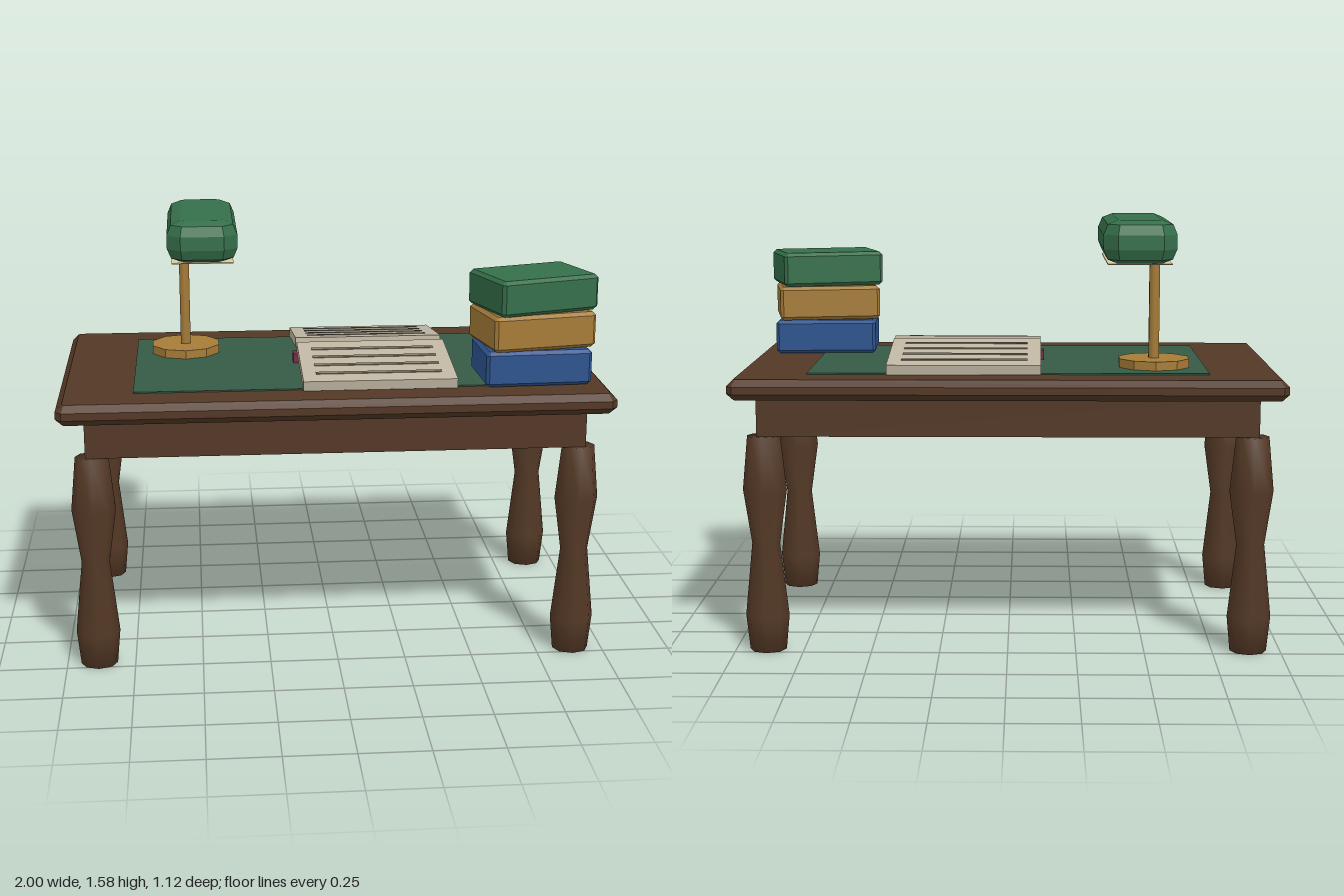
import * as THREE from 'three';

const paint = (name, hex) => {
  const m = new THREE.MeshStandardMaterial({ color: hex });
  m.name = name;
  return m;
};

// Box with bevelled rims and clipped upright corners, standing on y = 0
function bevelBox(w, h, d, bevel, clip, segments = 1) {
  const x = w / 2 - bevel, z = d / 2 - bevel;
  const corners = [
    [x, -z + clip], [x, z - clip], [x - clip, z], [-x + clip, z],
    [-x, z - clip], [-x, -z + clip], [-x + clip, -z], [x - clip, -z],
  ];
  const shape = new THREE.Shape(corners.map(([a, b]) => new THREE.Vector2(a, b)));
  const geo = new THREE.ExtrudeGeometry(shape, {
    depth: h - 2 * bevel, bevelEnabled: true, bevelSize: bevel,
    bevelThickness: bevel, bevelSegments: segments,
  });
  return geo.translate(0, 0, bevel).rotateX(-Math.PI / 2);
}

export function createModel() {
  const wood = paint('dark wood', 0x533825);
  const green = paint('green', 0x356f4a);
  const felt = paint('blotter green', 0x365b46);
  const brass = paint('brass', 0xa67c38);
  const blue = paint('blue', 0x2d5490);
  const paper = paint('paper', 0xbfb6a2);
  const ink = paint('ink', 0x877e6c);
  const maroon = paint('maroon', 0x78294a);
  const cream = paint('cream', 0xd8cba0);

  const model = new THREE.Group();
  model.name = 'writingDesk';
  const add = (parent, name, geo, mat, x = 0, y = 0, z = 0) => {
    const mesh = new THREE.Mesh(geo, mat);
    mesh.name = name;
    mesh.position.set(x, y, z);
    parent.add(mesh);
    return mesh;
  };
  const box = (w, h, d) => new THREE.BoxGeometry(w, h, d);
  const group = (name) => {
    const g = new THREE.Group();
    g.name = name;
    model.add(g);
    return g;
  };

  // Desk top, apron and blotter
  const TOP = 1.015;
  add(model, 'deskTop', bevelBox(2, 0.075, 1.12, 0.024, 0.008), wood, 0, 0.94, 0);
  add(model, 'apron', box(1.81, 0.142, 0.965), wood, 0, 0.871, 0);
  add(model, 'blotter', box(1.46, 0.006, 0.8), felt, 0, TOP + 0.002, 0);

  // Turned legs
  const profile = [[0, 0], [0.067, 0], [0.08, 0.13], [0.051, 0.4], [0.08, 0.6], [0.06, 0.8], [0, 0.8]]
    .map(([r, y]) => new THREE.Vector2(r, y));
  const legGeo = new THREE.LatheGeometry(profile, 8).scale(1, 1, 0.89);
  for (const sx of [-1, 1]) {
    for (const sz of [-1, 1]) {
      add(model, (sz > 0 ? 'front' : 'back') + (sx > 0 ? 'Left' : 'Right') + 'Leg',
        legGeo, wood, sx * 0.883, 0, sz * 0.455);
    }
  }

  // Desk lamp
  const lamp = group('lamp');
  add(lamp, 'lampBase', new THREE.CylinderGeometry(0.135, 0.135, 0.037, 10).toNonIndexed(), brass, -0.54, 1.034, -0.2)
    .geometry.computeVertexNormals();
  add(lamp, 'lampPole', new THREE.CylinderGeometry(0.022, 0.022, 0.4, 6), brass, -0.54, 1.24, -0.2);
  add(lamp, 'lampShade', bevelBox(0.262, 0.155, 0.61, 0.052, 0.02, 2), green, -0.47, 1.42, -0.2);
  add(lamp, 'lampPanel', box(0.23, 0.004, 0.54), cream, -0.47, 1.419, -0.2);

  // Open book: spine and two sloping page blocks with ruled lines
  const book = group('openBook');
  add(book, 'bookSpine', box(0.585, 0.04, 0.054), maroon, 0.16, 1.035, 0);
  for (const side of [-1, 1]) {
    const page = new THREE.Group();
    page.name = side > 0 ? 'frontPage' : 'backPage';
    page.position.set(0.16, 1.06, side * 0.228);
    page.rotation.x = side * 0.13;
    book.add(page);
    add(page, 'pageBlock', box(0.56, 0.036, 0.395), paper);
    for (let i = 0; i < 4; i++) {
      add(page, 'writtenLine', box(0.46, 0.004, 0.018), ink, 0, 0.0185, -0.12 + i * 0.08);
    }
  }

  // Stack of books, each turned a little further
  const stack = group('bookStack');
  const books = [['lowerBook', blue, 0.04], ['middleBook', brass, 0.19], ['upperBook', green, 0.31]];
  books.forEach(([name, mat, turn], i) => {
    add(stack, name, bevelBox(0.39, 0.131, 0.28, 0.013, 0.004), mat, 0.73, TOP + 0.003 + i * 0.133, 0.293)
      .rotation.y = turn;
  });

  return model;
}
